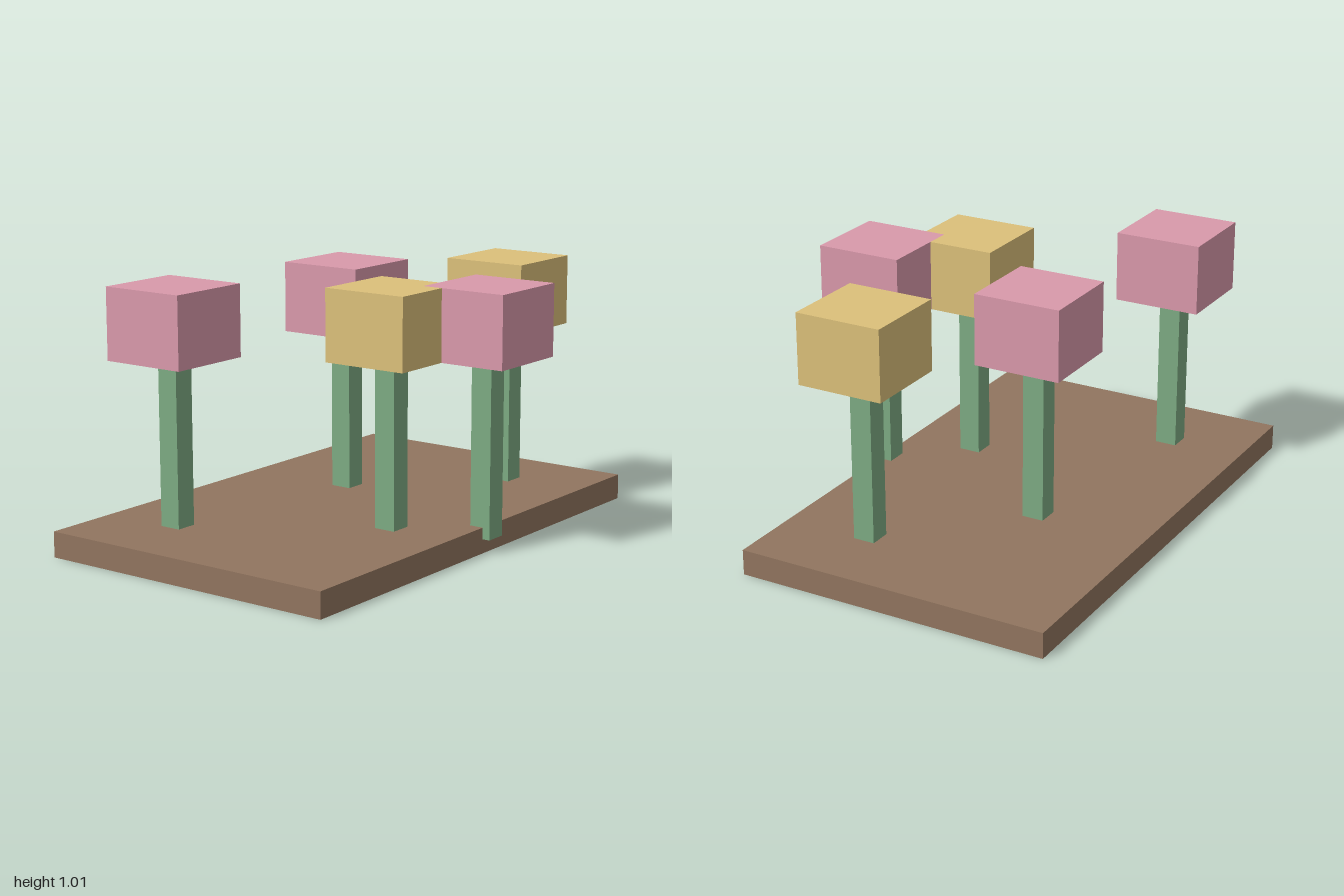
import * as THREE from 'three';

const material = (color) => new THREE.MeshStandardMaterial({ color });

function box(name, [w, h, d], [x, y, z], mat) {
  const mesh = new THREE.Mesh(new THREE.BoxGeometry(w, h, d), mat);
  mesh.name = name;
  mesh.position.set(x, y, z);
  return mesh;
}

export function createModel() {
  const model = new THREE.Group();
  model.name = 'flowerBed';

  const soil = material(0x91755f);
  const green = material(0x7dab83);
  const pink = material(0xd999ab);
  const yellow = material(0xdcc07a);

  // Soil slab
  model.add(box('soil', [2, 0.1, 1.25], [0, 0.05, -0.08], soil));

  // Flowers: x, z, blossom colour
  const flowers = [
    [-0.662, -0.392, pink],
    [0.207, -0.252, pink],
    [-0.21, 0.268, yellow],
    [0.676, 0.2, yellow],
    [0.033, 0.532, pink],
  ];
  for (const [x, z, petal] of flowers) {
    const flower = new THREE.Group();
    flower.name = 'flower';
    flower.position.set(x, 0, z);
    // Stem is rooted halfway into the soil
    flower.add(box('stem', [0.086, 0.68, 0.086], [0, 0.395, 0], green));
    flower.add(box('blossom', [0.346, 0.276, 0.346], [0, 0.873, 0], petal));
    model.add(flower);
  }
  return model;
}
